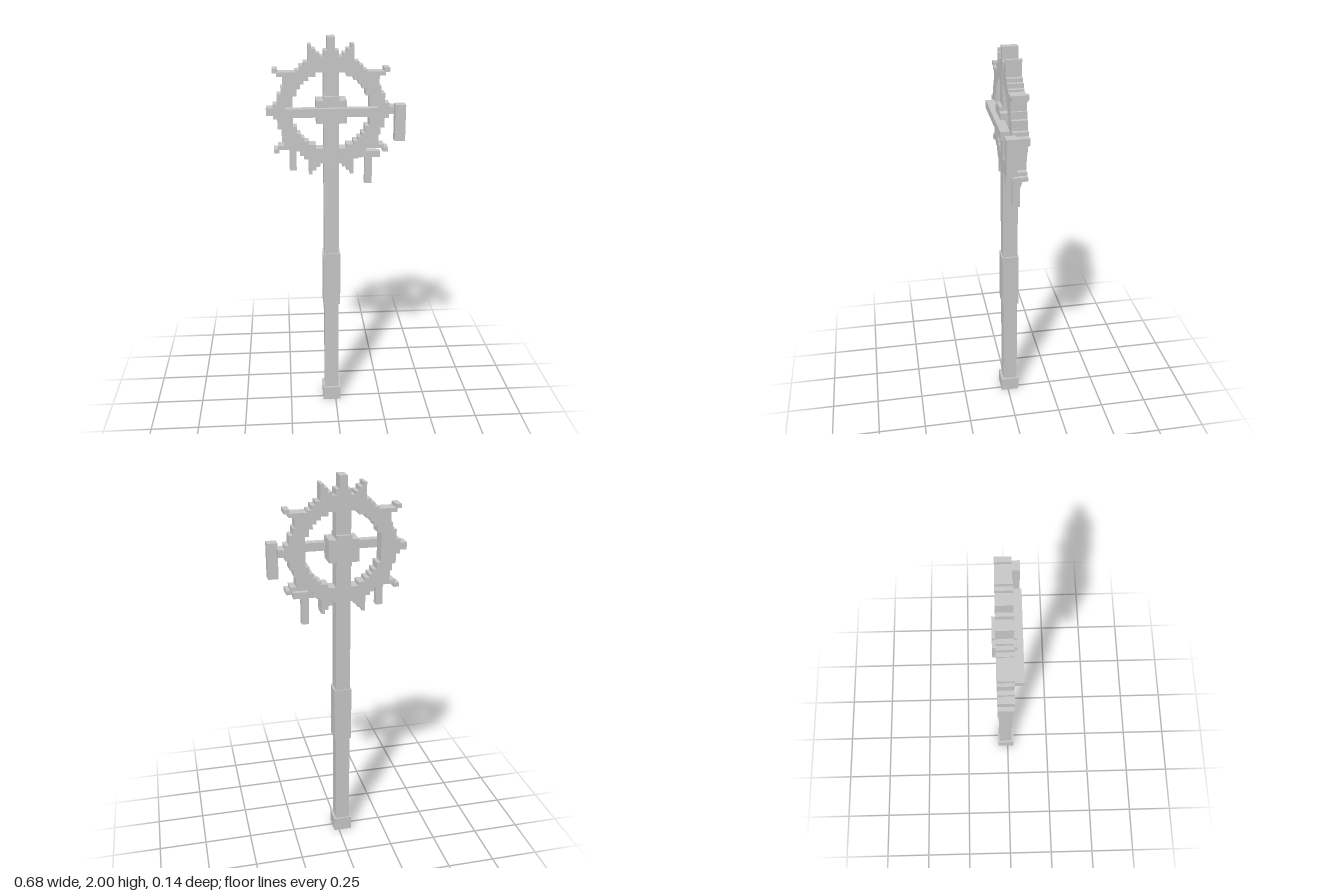
import * as THREE from 'three';

const CX = -0.022, CY = 1.645; // wheel centre

// Stepped quarter outlines, from the +x axis round to the +y axis
const outerQuarter = [
  [.318, .018], [.285, .018], [.285, .037], [.264, .037], [.264, .085], [.245, .085],
  [.245, .12], [.235, .12], [.235, .17], [.264, .17], [.264, .187], [.285, .187],
  [.285, .208], [.258, .208], [.258, .19], [.175, .19], [.175, .2], [.155, .2],
  [.155, .222], [.135, .222], [.135, .24], [.112, .24], [.112, .32], [.095, .32],
  [.095, .3], [.075, .3], [.075, .28], [.055, .28], [.055, .264],
];
const innerQuarter = [
  [.188, .075], [.168, .075], [.168, .11], [.15, .11], [.15, .132], [.132, .132],
  [.132, .15], [.11, .15], [.11, .168], [.075, .168], [.075, .188],
];

// Mirror a quarter outline into a full closed loop
function fullLoop(q) {
  const mirror = (sx, sy) => q.map(([x, y]) => new THREE.Vector2(x * sx, y * sy));
  return [
    ...mirror(1, 1), ...mirror(-1, 1).reverse(),
    ...mirror(-1, -1), ...mirror(1, -1).reverse(),
  ];
}

export function createModel() {
  const model = new THREE.Group();
  model.name = 'gearStaff';
  const grey = new THREE.MeshStandardMaterial({ color: 0xc6c6c6 });
  grey.name = 'lightGrey';

  // Box given by its extents on each axis
  function box(name, [x0, x1], [y0, y1], [z0, z1]) {
    const mesh = new THREE.Mesh(new THREE.BoxGeometry(x1 - x0, y1 - y0, z1 - z0), grey);
    mesh.position.set((x0 + x1) / 2, (y0 + y1) / 2, (z0 + z1) / 2);
    mesh.name = name;
    model.add(mesh);
  }

  // Handle
  box('foot', [-.069, .027], [0, .077], [-.06, .037]);
  box('shaft', [-.059, .016], [.077, 1.937], [-.052, .0245]);
  box('grip', [-.066, .024], [.595, .89], [-.057, .031]);
  box('topTooth', [-.041, -.003], [1.937, 2], [-.053, .0235]);

  // Toothed wheel
  const shape = new THREE.Shape(fullLoop(outerQuarter));
  shape.holes.push(new THREE.Path(fullLoop(innerQuarter)));
  const wheel = new THREE.Mesh(
    new THREE.ExtrudeGeometry(shape, { depth: .0765, bevelEnabled: false }), grey);
  wheel.position.set(CX, CY, -.053);
  wheel.name = 'toothedWheel';
  model.add(wheel);

  // Hub and front crossbar
  box('hubWide', [-.096, .053], [1.587, 1.7], [-.07, .042]);
  box('hubTall', [-.06, .016], [1.568, 1.72], [-.0695, .0415]);
  box('crossbar', [-.247, .204], [1.625, 1.667], [.022, .068]);

  // Hanging pieces
  box('weight', [.288, .34], [1.5, 1.68], [.012, .064]);
  box('leftPeg', [.148, .185], [1.268, 1.435], [-.03, .006]);
  box('leftPegArm', [.11, .225], [1.405, 1.437], [-.03, .006]);
  box('rightPeg', [-.23, -.195], [1.342, 1.5], [-.03, .006]);
  box('rightPegArm', [-.265, -.2], [1.49, 1.52], [-.03, .006]);

  return model;
}
